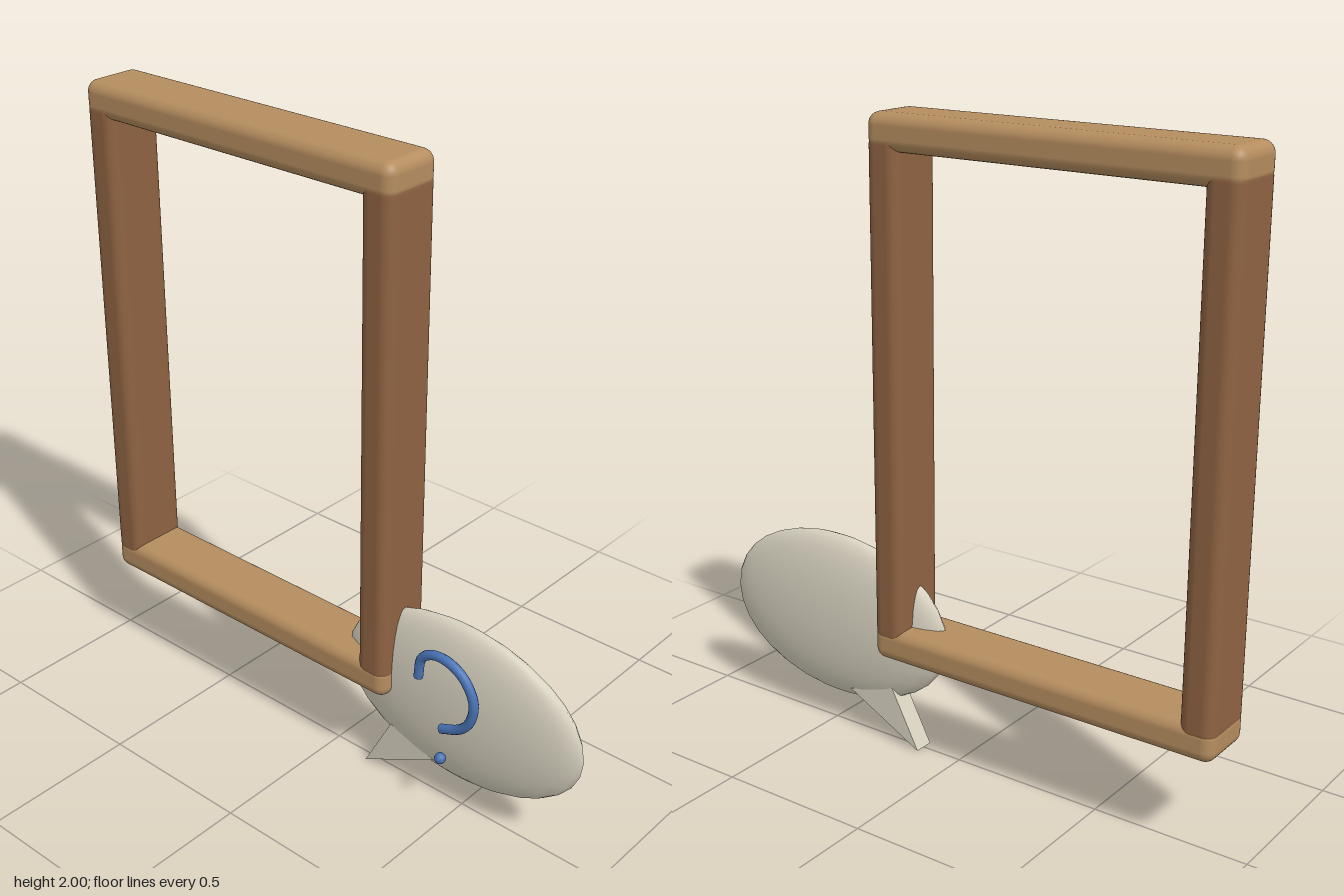
import * as THREE from 'three';
import { RoundedBoxGeometry } from 'three/addons/geometries/RoundedBoxGeometry.js';

function material(name, color) {
  const m = new THREE.MeshStandardMaterial({ color });
  m.name = name;
  return m;
}

export function createModel() {
  const model = new THREE.Group();
  const lightWood = material('light wood', 0xb58d5f);
  const darkWood = material('dark wood', 0x8f6342);
  const cream = material('cream', 0xd8d2c0);
  const blue = material('blue', 0x4872b4);

  const add = (name, geometry, mat, x = 0, y = 0, z = 0) => {
    const mesh = new THREE.Mesh(geometry, mat);
    mesh.name = name;
    mesh.position.set(x, y, z);
    model.add(mesh);
    return mesh;
  };

  // Frame: two full-width rails, with posts ending inside them
  const railShape = new RoundedBoxGeometry(1.18, 0.11, 0.2, 4, 0.036);
  const postShape = new RoundedBoxGeometry(0.11, 1.57, 0.2, 4, 0.036);
  add('topRail', railShape, lightWood, -0.33, 1.945);
  add('bottomRail', railShape, lightWood, -0.33, 0.375);
  add('rightPost', postShape, darkWood, -0.865, 1.16);
  add('leftPost', postShape, darkWood, 0.205, 1.16);

  // Flattened speech bubble
  const bubble = add('bubble', new THREE.SphereGeometry(1, 24, 16), cream, 0.48, 0.378);
  bubble.scale.set(0.435, 0.275, 0.068);

  // Pointed bubble tail
  const tail = new THREE.Shape([[0.14, 0], [0.41, 0.14], [0.24, 0.19]].map(([x, y]) => new THREE.Vector2(x, y)));
  add('bubbleTail', new THREE.ExtrudeGeometry(tail, { depth: 0.066, bevelEnabled: false }), cream, 0, 0, -0.033);

  // Raised hook, capped at both ends, and the dot below it
  const path = [
    [0.384, 0.47], [0.395, 0.54], [0.435, 0.57], [0.49, 0.572], [0.55, 0.54],
    [0.588, 0.47], [0.575, 0.395], [0.54, 0.355], [0.475, 0.325],
  ].map(([x, y]) => new THREE.Vector3(x, y, 0.086));
  const curve = new THREE.CatmullRomCurve3(path);
  add('hook', new THREE.TubeGeometry(curve, 40, 0.015, 10), blue);
  for (const t of [0, 1]) {
    const p = curve.getPoint(t);
    const cap = add('hookEnd', new THREE.CircleGeometry(0.015, 10), blue, p.x, p.y, p.z);
    cap.lookAt(p.clone().addScaledVector(curve.getTangent(t), t ? 1 : -1));
  }
  add('dot', new THREE.SphereGeometry(0.018, 12, 10), blue, 0.475, 0.215, 0.086);

  return model;
}
